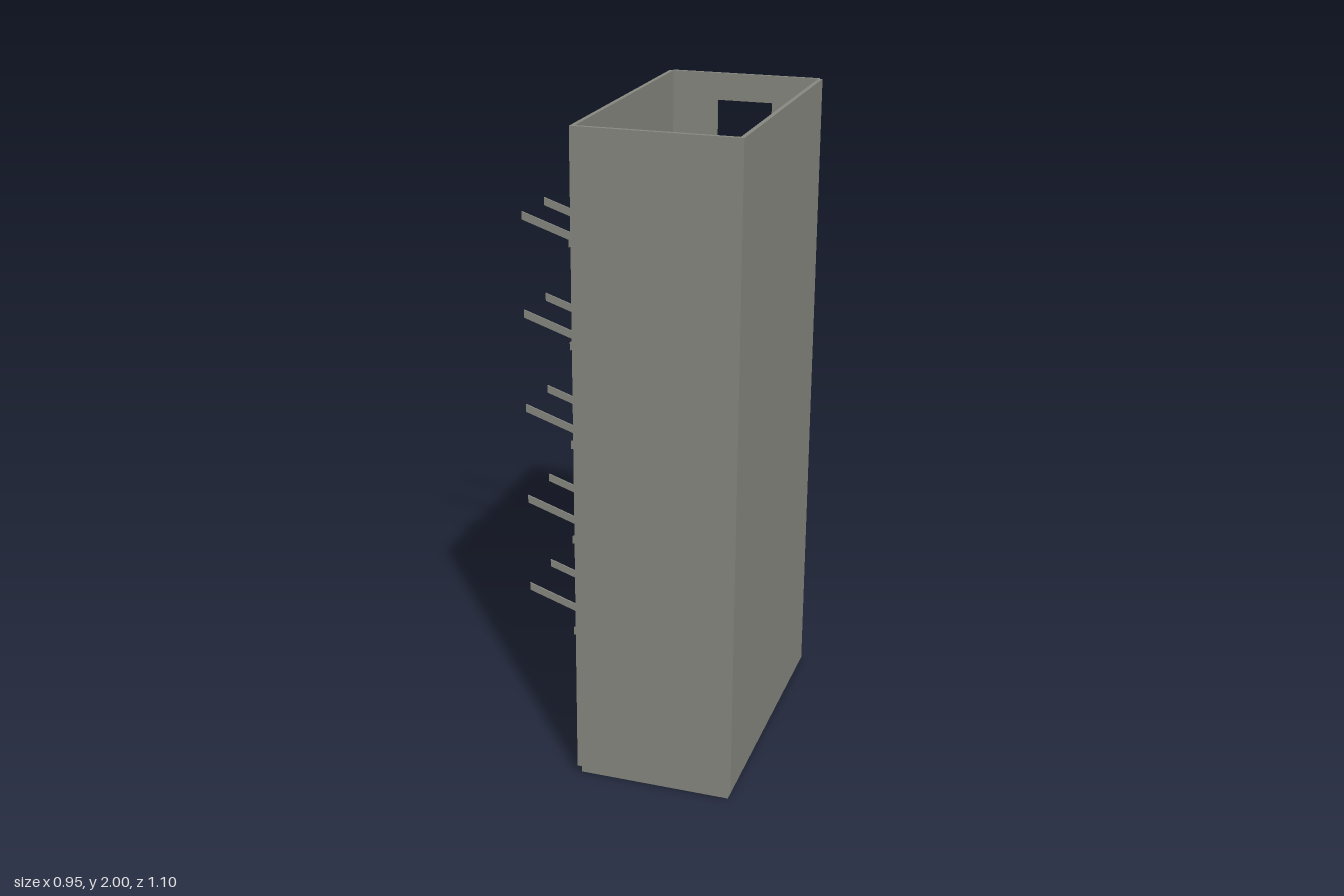
import * as THREE from 'three';

export function createModel() {
  const model = new THREE.Group();
  model.name = 'stairTower';
  const concrete = new THREE.MeshStandardMaterial({ color: 0x878880 });
  concrete.name = 'concreteGrey';

  const STOREY = 1 / 3, HALF = STOREY / 2, SLAB = 0.022;
  const STAIR_Z0 = -0.13, STAIR_Z1 = 0.37, STEPS = 10;

  const add = (name, geometry, parent = model) => {
    const mesh = new THREE.Mesh(geometry, concrete);
    mesh.name = name;
    parent.add(mesh);
    return mesh;
  };
  // Box given by its extents on each axis
  const block = (name, x0, x1, y0, y1, z0, z1, parent) => {
    const mesh = add(name, new THREE.BoxGeometry(x1 - x0, y1 - y0, z1 - z0), parent);
    mesh.position.set((x0 + x1) / 2, (y0 + y1) / 2, (z0 + z1) / 2);
    return mesh;
  };
  // Sloping strip with plumb-cut ends, drawn in the xy plane
  const slopedStrip = (name, u0, v0, u1, v1, height, thick, parent) => {
    const h = height / 2;
    const shape = new THREE.Shape([
      new THREE.Vector2(u0, v0 - h), new THREE.Vector2(u1, v1 - h),
      new THREE.Vector2(u1, v1 + h), new THREE.Vector2(u0, v0 + h),
    ]);
    const geometry = new THREE.ExtrudeGeometry(shape, { depth: thick, bevelEnabled: false });
    geometry.translate(0, 0, -thick / 2);
    return add(name, geometry, parent);
  };

  // Outer shell, open at the top
  block('rightWall', -0.01, 0.003, 0.025, 2, -0.335, 0.55);
  block('leftWall', 0.462, 0.475, 0.025, 2, -0.335, 0.55);
  block('frontWall', 0.003, 0.462, 0.025, 2, 0.537, 0.55);
  block('groundSlab', 0, 0.465, 0, SLAB, -0.35, 0.54);

  // Back wall with one doorway on each storey
  const wall = new THREE.Shape();
  wall.moveTo(0, 0.02).lineTo(0.465, 0.02).lineTo(0.465, 2).lineTo(0, 2).closePath();
  for (let k = 0; k < 6; k++) {
    const y0 = k * STOREY + SLAB, y1 = k * STOREY + 0.25;
    const door = new THREE.Path();
    door.moveTo(0.145, y0).lineTo(0.145, y1).lineTo(0.32, y1).lineTo(0.32, y0).closePath();
    wall.holes.push(door);
  }
  const backWall = add('backWall', new THREE.ExtrudeGeometry(wall, { depth: 0.012, bevelEnabled: false }));
  backWall.position.z = -0.345;

  for (let k = 0; k < 6; k++) {
    const y = k * STOREY;
    // Slab walkway in front of the doorway, and the landing behind it
    block('walkway', 0.145, 0.32, y, y + SLAB, -0.55, -0.34);
    if (k > 0) block('landing', 0, 0.465, y, y + SLAB, -0.352, STAIR_Z0);
    // Small wall plates
    block('backPlate', 0.4, 0.44, y + 0.095, y + 0.103, -0.335, -0.329);
    block('frontPlate', 0.4, 0.44, y + 0.095, y + 0.103, 0.532, 0.538);
  }

  // Two flights and a half landing per storey
  for (let k = 0; k < 5; k++) {
    const y = k * STOREY;
    const stairs = new THREE.Group();
    stairs.name = 'stairs';
    stairs.position.y = y;
    model.add(stairs);
    block('halfLanding', 0.003, 0.462, HALF, HALF + SLAB, STAIR_Z1, 0.538, stairs);
    const run = (STAIR_Z1 - STAIR_Z0) / STEPS, rise = HALF / STEPS;
    for (let i = 0; i < STEPS; i++) {
      const top = SLAB + rise * (i + 0.5);
      const zUp = STAIR_Z0 + run * i, zBack = STAIR_Z1 - run * (i + 1);
      block('lowerStep', 0.005, 0.2, top - 0.02, top, zUp, zUp + run, stairs);
      block('upperStep', 0.267, 0.462, HALF + top - 0.02, HALF + top, zBack, zBack + run, stairs);
    }
    // Inner strings beside the stairwell gap
    const lower = slopedStrip('lowerString', -STAIR_Z1, HALF + 0.016, -STAIR_Z0, 0.016, 0.027, 0.005, stairs);
    lower.rotation.y = Math.PI / 2;
    lower.position.x = 0.2025;
    const upper = slopedStrip('upperString', -STAIR_Z1, HALF + 0.016, -STAIR_Z0, STOREY + 0.012, 0.027, 0.005, stairs);
    upper.rotation.y = Math.PI / 2;
    upper.position.x = 0.265;

    // Pairs of sloping bars that cross the right wall
    for (const z of [-0.44, -0.243])
      slopedStrip('longBar', -0.48, 0.186, 0.02, 0.186 - HALF, 0.027, 0.005, stairs).position.z = z;
    for (const z of [-0.18, 0.016])
      slopedStrip('shortBar', -0.22, 0.184, 0.28, 0.18 + HALF, 0.027, 0.005, stairs).position.z = z;
  }
  return model;
}
